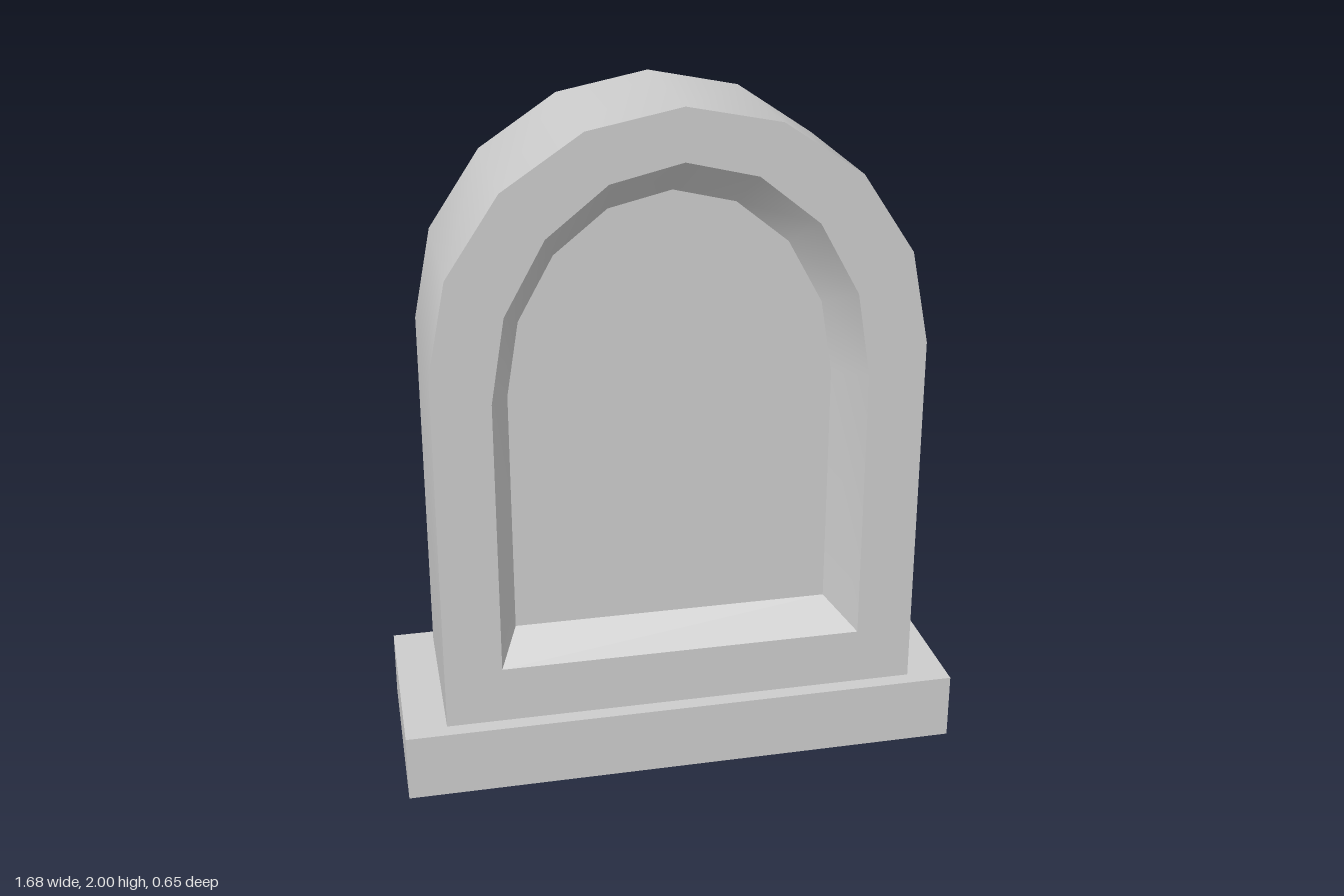
import * as THREE from 'three';
import { toCreasedNormals } from 'three/addons/utils/BufferGeometryUtils.js';

const material = new THREE.MeshStandardMaterial({ color: 0xcccccc, side: THREE.DoubleSide });

// Arch outline, from the right foot over the top to the left foot.
function arch(cx, rx, ry, foot, spring) {
  const pts = [new THREE.Vector2(cx + rx, foot)];
  for (let i = 0; i <= 8; i++) {
    const a = (i / 8) * Math.PI;
    pts.push(new THREE.Vector2(cx + rx * Math.cos(a), spring + ry * Math.sin(a)));
  }
  pts.push(new THREE.Vector2(cx - rx, foot));
  return pts;
}

const atZ = (pts, z) => pts.map((p) => [p.x, p.y, z]);

// Band of quads between two matching rows of points.
function band(a, b, closed) {
  const pos = [];
  const count = closed ? a.length : a.length - 1;
  for (let i = 0; i < count; i++) {
    const j = (i + 1) % a.length;
    pos.push(...a[i], ...a[j], ...b[j], ...a[i], ...b[j], ...b[i]);
  }
  const geo = new THREE.BufferGeometry();
  geo.setAttribute('position', new THREE.Float32BufferAttribute(pos, 3));
  return toCreasedNormals(geo, 0.6);
}

// Flat face, optionally with a hole.
function face(pts, hole) {
  const shape = new THREE.Shape(pts);
  if (hole) shape.holes.push(new THREE.Path(hole));
  return new THREE.ShapeGeometry(shape);
}

const rect = (w, d) => [[w, -d], [w, d], [-w, d], [-w, -d]].map(([x, y]) => new THREE.Vector2(x, y));

// Slightly hand-cut, out-of-square plan.
function skew(geo) {
  const p = geo.attributes.position;
  for (let i = 0; i < p.count; i++) {
    const x = p.getX(i), z = p.getZ(i);
    p.setXYZ(i, x - 0.007 * z, p.getY(i), z - 0.009 * x);
  }
  if (geo.index) geo.computeVertexNormals();
  return geo;
}

export function createModel() {
  const root = new THREE.Group();
  root.name = 'archedStone';
  const add = (parent, name, geo) => {
    const mesh = new THREE.Mesh(skew(geo), material);
    mesh.name = name;
    parent.add(mesh);
  };

  const baseH = 0.2, depth = 0.27, nicheDepth = 0.11;
  const outline = arch(0, 0.712, 0.71, baseH, 1.29);
  const nicheRim = arch(0, 0.543, 0.65, 0.37, 1.2);
  const nicheFloor = arch(-0.013, 0.475, 0.57, 0.45, 1.18);

  // Upright slab, open underneath
  const slab = new THREE.Group();
  slab.name = 'slab';
  root.add(slab);
  add(slab, 'slabSides', band(atZ(outline, -depth), atZ(outline, depth), false));
  add(slab, 'slabBack', face(outline).rotateY(Math.PI).translate(0, 0, -depth));
  add(slab, 'slabFront', face(outline, nicheRim).translate(0, 0, depth));

  // Recessed niche with splayed walls
  add(slab, 'nicheWalls', band(atZ(nicheRim, depth), atZ(nicheFloor, depth - nicheDepth), true));
  add(slab, 'nichePanel', face(nicheFloor).translate(0, 0, depth - nicheDepth));

  // Hollow plinth: four walls and a top rim around the slab
  const plinth = new THREE.Group();
  plinth.name = 'plinth';
  root.add(plinth);
  const plan = rect(0.836, 0.318);
  const level = (y) => plan.map((p) => [p.x, y, -p.y]);
  add(plinth, 'plinthWalls', band(level(0), level(baseH), true));
  add(plinth, 'plinthTop', face(plan, rect(0.712, depth)).rotateX(-Math.PI / 2).translate(0, baseH, 0));

  return root;
}
